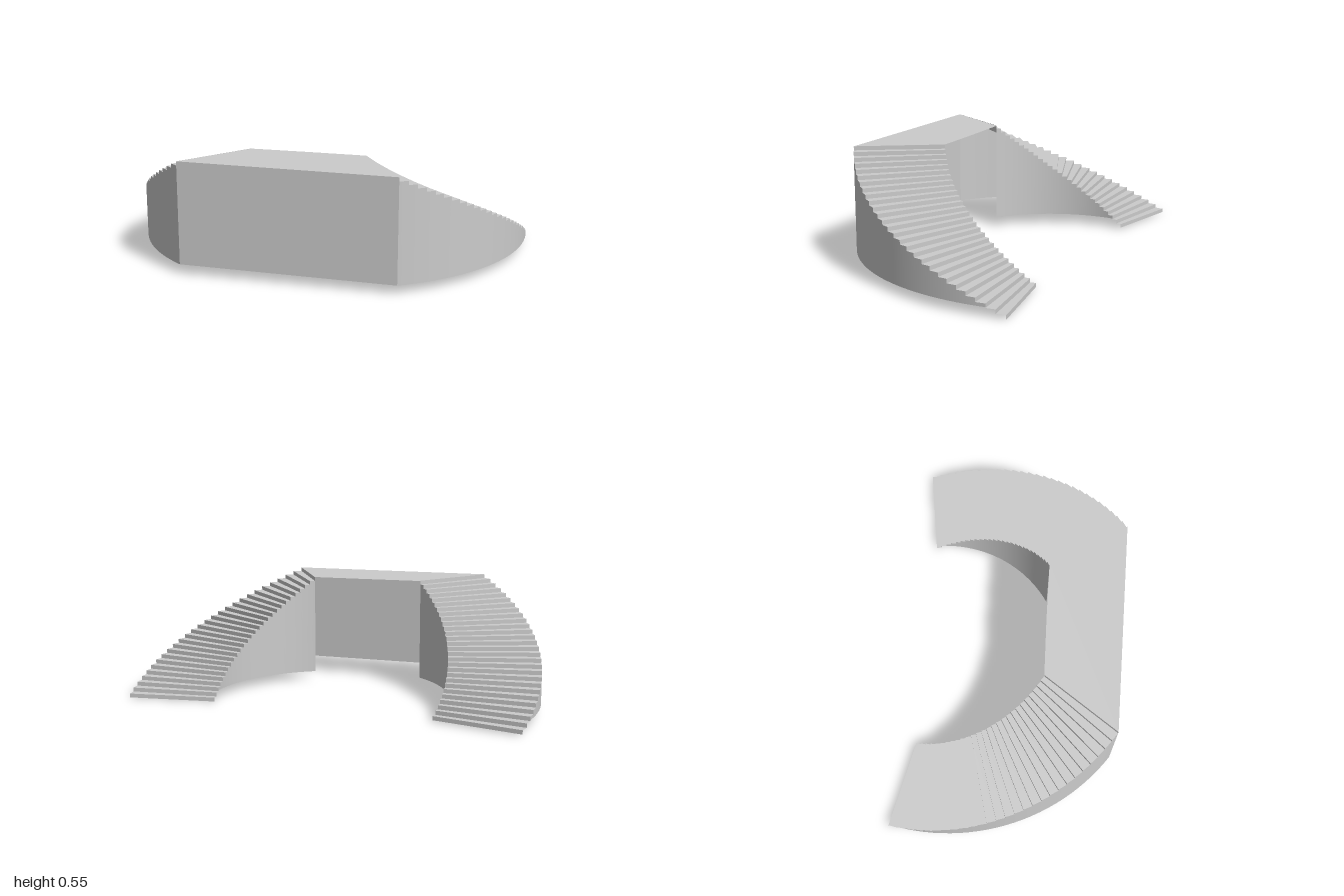
import * as THREE from 'three';

const material = new THREE.MeshStandardMaterial({ color: 0xcccccc, side: THREE.DoubleSide });
const STEPS = 27, RISE = 0.01957, BASE_DROP = 0.505;
const rad = THREE.MathUtils.degToRad;

// Each flight curves around its own centre; side is +1 for +x and -1 for -x
const FLIGHTS = [
  { name: 'left', side: 1, cx: -0.06, cz: -0.36, inner: 0.62, outer: 1.06, start: 58, end: -8.8, top: 0.548 },
  { name: 'right', side: -1, cx: 0.04, cz: -0.32, inner: 0.604, outer: 1.043, start: 55.2, end: -12.4, top: 0.555 },
];

const pointOn = (f, r, t, y) => [f.cx + f.side * r * Math.cos(t), y, f.cz + r * Math.sin(t)];
const angleAt = (f, i) => rad(f.start + (f.end - f.start) * i / STEPS);

// Mesh from quads of four corners, with optional corner normals for smooth walls
function quadMesh(name, quads, normals) {
  const spread = (list) => list.flatMap(([a, b, c, d]) => [a, b, c, a, c, d].flat());
  const geometry = new THREE.BufferGeometry();
  geometry.setAttribute('position', new THREE.Float32BufferAttribute(spread(quads), 3));
  if (normals) geometry.setAttribute('normal', new THREE.Float32BufferAttribute(spread(normals), 3));
  else geometry.computeVertexNormals();
  const mesh = new THREE.Mesh(geometry, material);
  mesh.name = name;
  return mesh;
}

// Thin treads and risers, open underneath
function stairSurface(f) {
  const quads = [];
  const add = (a, b, c, d) => quads.push(f.side > 0 ? [a, b, c, d] : [d, c, b, a]);
  for (let i = 0; i <= STEPS; i++) {
    const t = angleAt(f, i), y = f.top - i * RISE, low = y - RISE;
    add(pointOn(f, f.outer, t, low), pointOn(f, f.inner, t, low),
      pointOn(f, f.inner, t, y), pointOn(f, f.outer, t, y));
    if (i === STEPS) break;
    const next = angleAt(f, i + 1);
    add(pointOn(f, f.inner, t, low), pointOn(f, f.outer, t, low),
      pointOn(f, f.outer, next, low), pointOn(f, f.inner, next, low));
  }
  return quadMesh(f.name + 'Steps', quads);
}

// Curved side wall with a stepped top edge
function sideWall(f, radius, name) {
  const quads = [], normals = [], base = f.top - BASE_DROP;
  for (let i = 0; i < STEPS; i++) {
    const y = f.top - (i + 1) * RISE;
    if (y <= base) break;
    const t = angleAt(f, i), next = angleAt(f, i + 1);
    const n0 = [f.side * Math.cos(t), 0, Math.sin(t)];
    const n1 = [f.side * Math.cos(next), 0, Math.sin(next)];
    const quad = [pointOn(f, radius, t, base), pointOn(f, radius, next, base),
      pointOn(f, radius, next, y), pointOn(f, radius, t, y)];
    const normal = [n0, n1, n1, n0];
    quads.push(f.side > 0 ? quad : quad.reverse());
    normals.push(f.side > 0 ? normal : normal.reverse());
  }
  return quadMesh(name, quads, normals);
}

export function createModel() {
  const model = new THREE.Group();
  model.name = 'doubleCurvedStaircase';

  for (const f of FLIGHTS) {
    const flight = new THREE.Group();
    flight.name = f.name + 'Flight';
    flight.add(stairSurface(f),
      sideWall(f, f.outer, f.name + 'OuterWall'),
      sideWall(f, f.inner, f.name + 'InnerWall'));
    model.add(flight);
  }

  // Landing between the flights, very slightly sloped
  const [l, r] = FLIGHTS;
  const corner = (f, radius) => pointOn(f, radius, angleAt(f, 0), f.top);
  const lo = corner(l, l.outer), li = corner(l, l.inner);
  const ro = corner(r, r.outer), ri = corner(r, r.inner);
  const outline = [ro, lo, li, [0.24, 0, 0.165], [-0.02, 0, 0.168], ri];
  const landing = new THREE.ShapeGeometry(
    new THREE.Shape(outline.map(([x, , z]) => new THREE.Vector2(x, -z))));
  landing.rotateX(-Math.PI / 2);
  const p = landing.attributes.position;
  for (let i = 0; i < p.count; i++) {
    const k = (p.getX(i) - ro[0]) / (lo[0] - ro[0]);
    p.setY(i, THREE.MathUtils.lerp(r.top, l.top, THREE.MathUtils.clamp(k, 0, 1)));
  }
  landing.computeVertexNormals();
  const landingMesh = new THREE.Mesh(landing, material);
  landingMesh.name = 'landing';
  model.add(landingMesh);

  // Front wall under the landing; the back stays open
  const down = ([x, y, z]) => [x, y - BASE_DROP, z];
  model.add(quadMesh('frontWall', [[down(ro), down(lo), lo, ro]]));
  return model;
}
